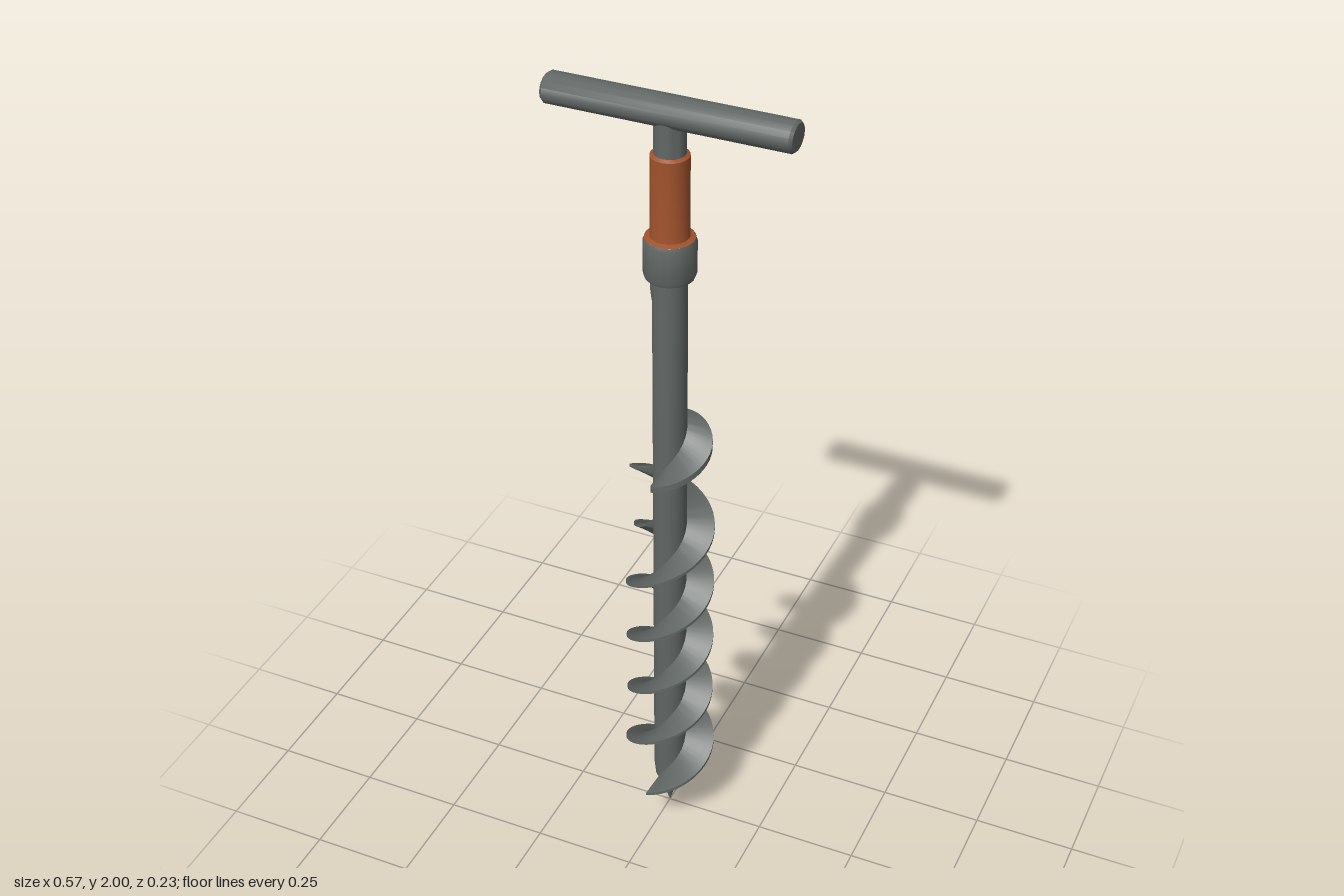
import * as THREE from 'three';
import { toCreasedNormals } from 'three/addons/utils/BufferGeometryUtils.js';

const steel = new THREE.MeshStandardMaterial({ color: 0x626866 });
steel.name = 'darkSteel';
const orange = new THREE.MeshStandardMaterial({ color: 0xa0522d });
orange.name = 'rustOrange';

function addMesh(group, name, geometry, material) {
  const mesh = new THREE.Mesh(toCreasedNormals(geometry, 0.7), material);
  mesh.name = name;
  group.add(mesh);
  return mesh;
}

// Turned part from a few [radius, height] points, listed from bottom to top.
function turned(profile, sides = 20) {
  return new THREE.LatheGeometry(profile.map(([r, y]) => new THREE.Vector2(r, y)), sides);
}

// Screw blade: a wedge-shaped section swept round the shaft from angle t0 to t1.
function blade(t0, t1, steps, heightAt, radiusAt, root = 0.018, edge = 0.004) {
  const pos = [], index = [];
  for (let k = 0; k <= steps; k++) {
    const u = k / steps, t = t0 + (t1 - t0) * u;
    const y = heightAt(t, u), r = radiusAt(t, u);
    for (const [rad, dy] of [[0.03, root], [r, edge], [r, -edge], [0.03, -root]]) {
      pos.push(rad * Math.sin(t), y + dy, rad * Math.cos(t));
    }
    if (k === steps) continue;
    for (let j = 0; j < 4; j++) {
      const a = k * 4 + j, b = k * 4 + (j + 1) % 4;
      index.push(a, b, b + 4, a, b + 4, a + 4);
    }
  }
  const e = steps * 4;
  index.push(0, 2, 1, 0, 3, 2, e, e + 1, e + 2, e, e + 2, e + 3);
  const geometry = new THREE.BufferGeometry();
  geometry.setAttribute('position', new THREE.Float32BufferAttribute(pos, 3));
  geometry.setIndex(index);
  return geometry;
}

export function createModel() {
  const model = new THREE.Group();
  model.name = 'handAuger';

  // Shaft and pointed tip
  addMesh(model, 'shaft', turned([[0, 0.1], [0.036, 0.1], [0.04, 0.14], [0.04, 1.59]]), steel);
  addMesh(model, 'tip', turned([[0, 0], [0.03, 0.1], [0.036, 0.13]], 10), steel);

  // Two interleaved flights, half a turn apart
  const halfPitch = 0.166;
  const flights = [
    { name: 'rightFlight', start: -Math.PI / 2, top: 1.045, taper: 0.02 },
    { name: 'leftFlight', start: Math.PI / 2, top: 0.9, taper: 0.07 },
  ];
  for (const { name, start, top, taper } of flights) {
    const heightAt = (t) => 1.03 + (t - start) / Math.PI * halfPitch;
    const angleAt = (y) => start + (y - 1.03) / halfPitch * Math.PI;
    const radiusAt = (t) => {
      const y = heightAt(t);
      const full = 0.106 + 0.009 * THREE.MathUtils.clamp((0.3 - y) / 0.15, 0, 1);
      const fade = Math.min(1, (top - y) / taper + 0.3);
      return 0.04 + (full - 0.04) * fade;
    };
    addMesh(model, name, blade(angleAt(0.11), angleAt(top), 110, heightAt, radiusAt), steel);
  }

  // Steeper separate lobe above the flights
  addMesh(model, 'upperLobe', blade(-0.5, 2.7, 28,
    (t, u) => 1.02 + 0.17 * u,
    (t, u) => 0.038 + 0.07 * Math.sqrt(Math.max(0, Math.sin(Math.PI * u))), 0.03, 0.008), steel);

  // Slim rib winding up the bare shaft
  addMesh(model, 'shaftRib', blade(2.6, 4.9, 24,
    (t, u) => 1.18 + 0.37 * u, () => 0.045, 0.03, 0.02), steel);

  // Collar and painted grip sleeve
  addMesh(model, 'collar', turned([[0.038, 1.57], [0.056, 1.57], [0.06, 1.58], [0.06, 1.66],
    [0.057, 1.668]], 16), steel);
  addMesh(model, 'sleeve', turned([[0.057, 1.668], [0.045, 1.672], [0.044, 1.68], [0.044, 1.865],
    [0.036, 1.87]]), orange);
  addMesh(model, 'neck', turned([[0.036, 1.86], [0.036, 1.96]]), steel);

  // Crossbar handle with softened ends
  const bar = turned([[0, -0.287], [0.034, -0.287], [0.04, -0.28], [0.04, 0.28],
    [0.034, 0.287], [0, 0.287]], 16);
  bar.rotateZ(Math.PI / 2);
  bar.scale(1, 0.88, 1.04);
  addMesh(model, 'handle', bar, steel).position.y = 1.965;

  return model;
}
